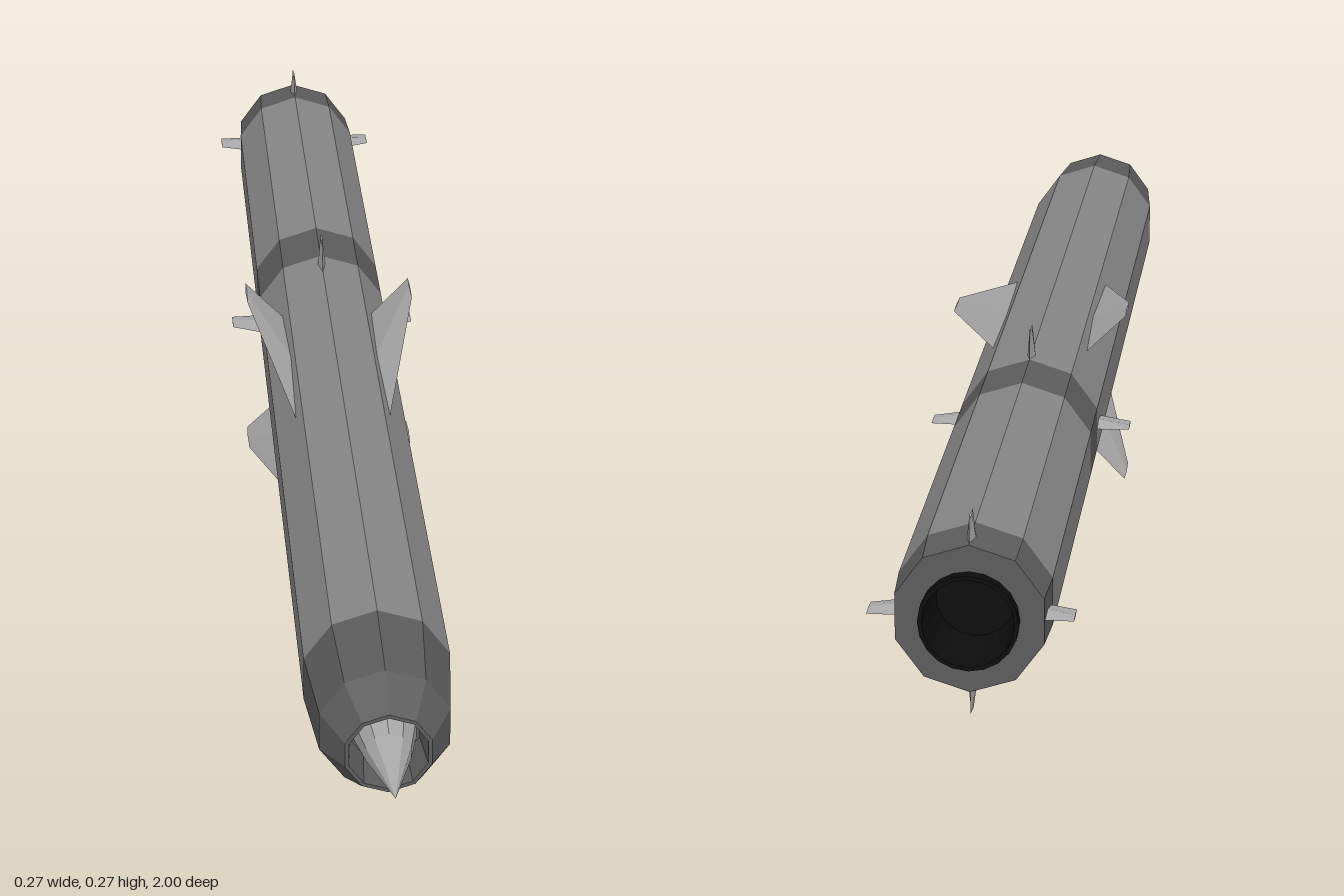
import * as THREE from 'three';

const AXIS_Y = 0.1355;
const mat = (name, color) => new THREE.MeshStandardMaterial({ name, color });

// Facet a geometry so every face is flat
function faceted(geo) {
  const g = geo.index ? geo.toNonIndexed() : geo;
  g.computeVertexNormals();
  return g;
}

// Turned part along z; profile is [radius, z] pairs
function turned(name, profile, sides, material) {
  const geo = new THREE.LatheGeometry(profile.map(([r, z]) => new THREE.Vector2(r, z)), sides);
  geo.rotateX(Math.PI / 2);
  const mesh = new THREE.Mesh(faceted(geo), material);
  mesh.name = name;
  return mesh;
}

// Tapered fin with a diamond section; each section is [radius, front z, back z, half thickness]
function finGeometry(root, tip) {
  const loop = ([r, zf, zb, t]) => {
    const zm = zf + (zb - zf) * 0.55;
    return [[0, r, zf], [t, r, zm], [0, r, zb], [-t, r, zm]];
  };
  const a = loop(root), b = loop(tip), pos = [];
  for (let i = 0; i < 4; i++) {
    const j = (i + 1) % 4;
    pos.push(...a[i], ...a[j], ...b[j], ...a[i], ...b[j], ...b[i]);
  }
  pos.push(...b[0], ...b[1], ...b[2], ...b[0], ...b[2], ...b[3]);
  const geo = new THREE.BufferGeometry();
  geo.setAttribute('position', new THREE.Float32BufferAttribute(pos, 3));
  return faceted(geo);
}

// Four copies of a fin around the body
function finSet(name, geo, startAngle, material) {
  const set = new THREE.Group();
  set.name = name + 's';
  for (let i = 0; i < 4; i++) {
    const fin = new THREE.Mesh(geo, material);
    fin.name = name;
    fin.rotation.z = startAngle + i * Math.PI / 2;
    set.add(fin);
  }
  return set;
}

export function createModel() {
  const body = mat('body grey', 0x868686);
  const dark = mat('dark grey', 0x5c5c5c);
  const light = mat('light grey', 0xa8a8a8);
  const black = mat('nozzle black', 0x0c0c0c);

  const model = new THREE.Group();
  model.name = 'missile';
  const R = 0.097;

  // Body sections
  model.add(
    turned('boosterBody', [[R, -0.92], [R, -0.4]], 10, body),
    turned('couplingBand', [[R, -0.4], [R, -0.3]], 10, dark),
    turned('forwardBody', [[R, -0.3], [R, 0.73]], 10, body),
    turned('tailRing', [[0.056, -0.985], [0.093, -0.985], [R, -0.92]], 10, dark),
    // Nose with a recessed air intake
    turned('noseIntake', [[R, 0.73], [0.085, 0.85], [0.056, 0.905], [0.051, 0.905],
      [0.045, 0.85], [0, 0.85]], 10, dark),
    turned('intakeCone', [[0.041, 0.85], [0.029, 0.905], [0, 1]], 10, light),
    // Open exhaust nozzle
    turned('nozzle', [[0, -0.92], [0.048, -0.92], [0.055, -1], [0.06, -1], [0.06, -0.97]], 20, black),
  );

  // Diagonal wings and the two sets of small upright fins
  model.add(
    finSet('wing', finGeometry([0.085, 0.19, -0.16, 0.007], [0.17, -0.1, -0.165, 0.0015]), Math.PI / 4, light),
    finSet('middleFin', finGeometry([0.09, -0.24, -0.3, 0.006], [0.1355, -0.262, -0.297, 0.0015]), 0, light),
    finSet('tailFin', finGeometry([0.088, -0.93, -0.98, 0.006], [0.123, -0.943, -0.98, 0.0015]), 0, light),
  );

  model.children.forEach((part) => { part.position.y = AXIS_Y; });
  return model;
}
